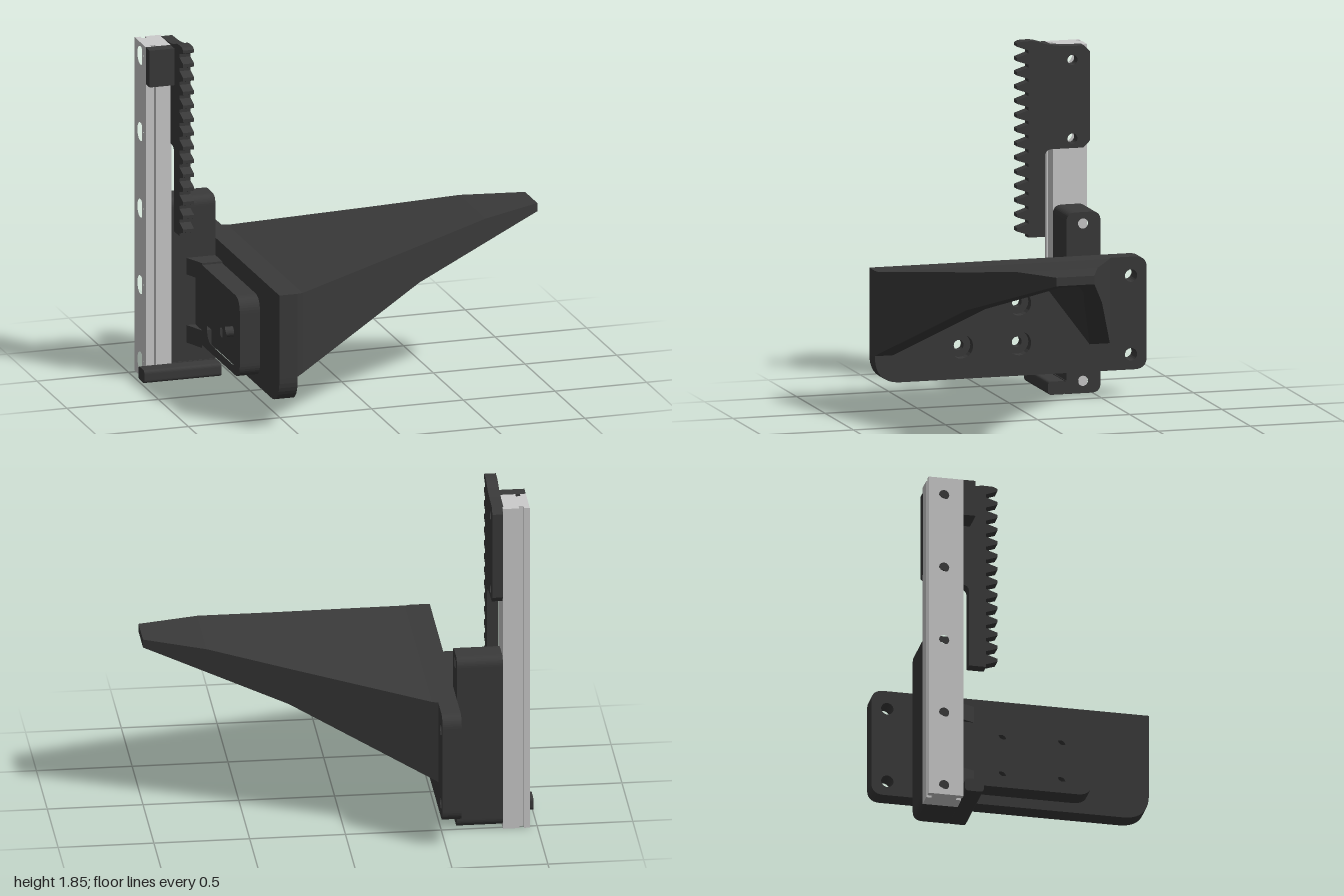
import * as THREE from 'three';

const dark = new THREE.MeshStandardMaterial({ color: 0x3a3a3a });
const grey = new THREE.MeshStandardMaterial({ color: 0xcccccc });

// Closed outline from [z, y, cornerRadius] points; shape x is -z
function outline(points) {
  const shape = new THREE.Shape();
  const n = points.length;
  const v = points.map(([z, y]) => new THREE.Vector2(-z, y));
  for (let i = 0; i < n; i++) {
    const p = v[i], r = points[i][2] || 0;
    const a = p.clone().add(v[(i + n - 1) % n].clone().sub(p).setLength(r));
    const b = p.clone().add(v[(i + 1) % n].clone().sub(p).setLength(r));
    if (i) shape.lineTo(a.x, a.y); else shape.moveTo(a.x, a.y);
    if (r) shape.quadraticCurveTo(p.x, p.y, b.x, b.y);
  }
  shape.closePath();
  return shape;
}

const rect = (z0, z1, y0, y1, r = 0) => outline([[z0, y0, r], [z1, y0, r], [z1, y1, r], [z0, y1, r]]);

function drill(shape, centres, radius) {
  for (const [z, y] of centres) shape.holes.push(new THREE.Path().absarc(-z, y, radius, 0, Math.PI * 2, true));
  return shape;
}

// Extrude an outline along x from x0 to x1
function slab(name, shape, x0, x1, material = dark) {
  const geo = new THREE.ExtrudeGeometry(shape, { depth: x1 - x0, bevelEnabled: false, curveSegments: 10 });
  geo.rotateY(Math.PI / 2).translate(x0, 0, 0);
  const mesh = new THREE.Mesh(geo, material);
  mesh.name = name;
  return mesh;
}

// Tapered wing, hollow underneath, lofted through eight-point sections
function makeWing() {
  // x, top, bottom, mouth z (left, right), ceiling z (left, right), ceiling y
  const stations = [
    [-0.48, 0.74, 0.29, 0.635, -0.43, 0.34, -0.14, 0.675],
    [-0.45, 0.74, 0.305, 0.625, -0.42, 0.335, -0.135, 0.68],
    [0.27, 0.85, 0.65, 0.37, -0.17, 0.25, -0.05, 0.78],
    [0.68, 0.915, 0.785, 0.24, -0.04, 0.19, 0.01, 0.845],
    [0.92, 0.93, 0.864, 0.17, 0.04, 0.15, 0.06, 0.866],
    [1, 0.935, 0.89, 0.15, 0.05, 0.14, 0.06, 0.89],
  ];
  const rings = stations.map(([x, top, low, mL, mR, cL, cR, cy]) => {
    const L = 0.735 - Math.max(0, x + 0.47) * 0.3605, R = -0.54 + (x + 0.48) * 0.365;
    return [[L, low], [L, top], [R, top], [R, low], [mR, low], [cR, cy], [cL, cy], [mL, low]]
      .map(([z, y]) => [x, y, z]);
  });
  const pos = [];
  const quad = (a, b, c, d) => pos.push(...a, ...b, ...c, ...a, ...c, ...d);
  for (let i = 0; i < rings.length - 1; i++) {
    for (let j = 0; j < 8; j++) {
      const k = (j + 1) % 8;
      quad(rings[i][j], rings[i + 1][j], rings[i + 1][k], rings[i][k]);
    }
  }
  const tip = rings[rings.length - 1];
  quad(tip[0], tip[3], tip[2], tip[1]);
  const geo = new THREE.BufferGeometry();
  geo.setAttribute('position', new THREE.Float32BufferAttribute(pos, 3));
  geo.computeVertexNormals();
  const mesh = new THREE.Mesh(geo, dark);
  mesh.name = 'wing';
  return mesh;
}

export function createModel() {
  const model = new THREE.Group();
  model.name = 'railMountedWing';
  const group = (name, ...parts) => {
    const g = new THREE.Group();
    g.name = name;
    g.add(...parts);
    model.add(g);
  };
  const railZ = -0.425;
  const railHoles = [0, 1, 2, 3, 4].map((i) => [railZ, 0.08 + i * 0.415]);

  // Guide rail: three layers give side grooves and counterbored holes
  const railLayer = (inset, r) => drill(rect(-0.52 + inset, -0.335 - inset, 0, 1.81), railHoles, r);
  group('guideRail',
    slab('railOuterLayer', railLayer(0, 0.05), -0.96, -0.93, grey),
    slab('railGrooveLayer', railLayer(0.028, 0.05), -0.93, -0.905, grey),
    slab('railInnerLayer', railLayer(0, 0.027), -0.905, -0.82, grey));

  // Toothed rack with a mounting flange at the top
  const rackPoints = [[-0.185, 0.815], [-0.275, 0.815], [-0.275, 1.275, 0.04], [-0.485, 1.275],
    [-0.52, 1.31], [-0.52, 1.78], [-0.49, 1.812], [-0.38, 1.815, 0.03], [-0.3, 1.825, 0.03],
    [-0.215, 1.852, 0.03], [-0.145, 1.85], [-0.125, 1.84], [-0.125, 1.825], [-0.185, 1.803]];
  for (let i = 0; i < 13; i++) {
    const y = 1.757 - i * 0.0748;
    rackPoints.push([-0.185, y + 0.029], [-0.125, y + 0.009], [-0.125, y - 0.009], [-0.185, y - 0.029]);
  }
  group('rack',
    slab('toothedRack', drill(outline(rackPoints), railHoles.slice(3), 0.027), -0.825, -0.765),
    slab('railStop', rect(-0.335, -0.27, 1.61, 1.81), -0.96, -0.82));

  // Carriage block with the foot that wraps in front of the rail
  group('carriage',
    slab('carriageBlock', drill(rect(-0.52, -0.335, 0.015, 0.97, 0.05), [railHoles[0], railHoles[2]], 0.027), -0.82, -0.58),
    slab('carriageFoot', rect(-0.335, -0.235, 0.015, 0.085, 0.02), -1, -0.58),
    slab('footBridge', rect(-0.4, -0.33, 0.015, 0.085), -0.82, -0.58));

  // Housing behind the plate: pocketed rim over a drilled floor
  const screws = [];
  for (const z of [0.265, -0.05]) for (const y of [0.525, 0.315]) screws.push([z, y]);
  const housing = () => rect(-0.345, 0.41, 0.2, 0.635, 0.08);
  const rim = housing();
  rim.holes.push(rect(-0.14, 0.355, 0.245, 0.595, 0.08));
  const floor = drill(drill(housing(), screws, 0.027), [[0.108, 0.42]], 0.12);
  const parts = [slab('housingRim', rim, -0.69, -0.64), slab('housingFloor', floor, -0.64, -0.58)];

  // Sloped gussets joining the housing to the carriage
  for (const [y0, y1] of [[0.185, 0.28], [0.555, 0.645]]) {
    const wedge = new THREE.Shape([[-0.58, 0.34], [-0.74, 0.34], [-0.69, 0.22], [-0.58, 0.22]]
      .map(([x, y]) => new THREE.Vector2(x, y)));
    const geo = new THREE.ExtrudeGeometry(wedge, { depth: y1 - y0, bevelEnabled: false });
    geo.rotateX(-Math.PI / 2).translate(0, y0, 0);
    const gusset = new THREE.Mesh(geo, dark);
    gusset.name = 'gusset';
    parts.push(gusset);
  }
  group('housing', ...parts);

  // Mounting plate in two layers so the four screws are counterbored
  const plate = (r) => {
    const s = outline([[0.735, 0.145, 0.14], [-0.74, 0.145, 0.065], [-0.74, 0.74, 0.065], [0.735, 0.74]]);
    return drill(drill(s, screws, r), [[-0.655, 0.64], [-0.655, 0.225]], 0.033);
  };
  group('mountingPlate',
    slab('plateBack', plate(0.027), -0.58, -0.53),
    slab('plateFront', plate(0.063), -0.53, -0.48));

  model.add(makeWing());
  return model;
}
